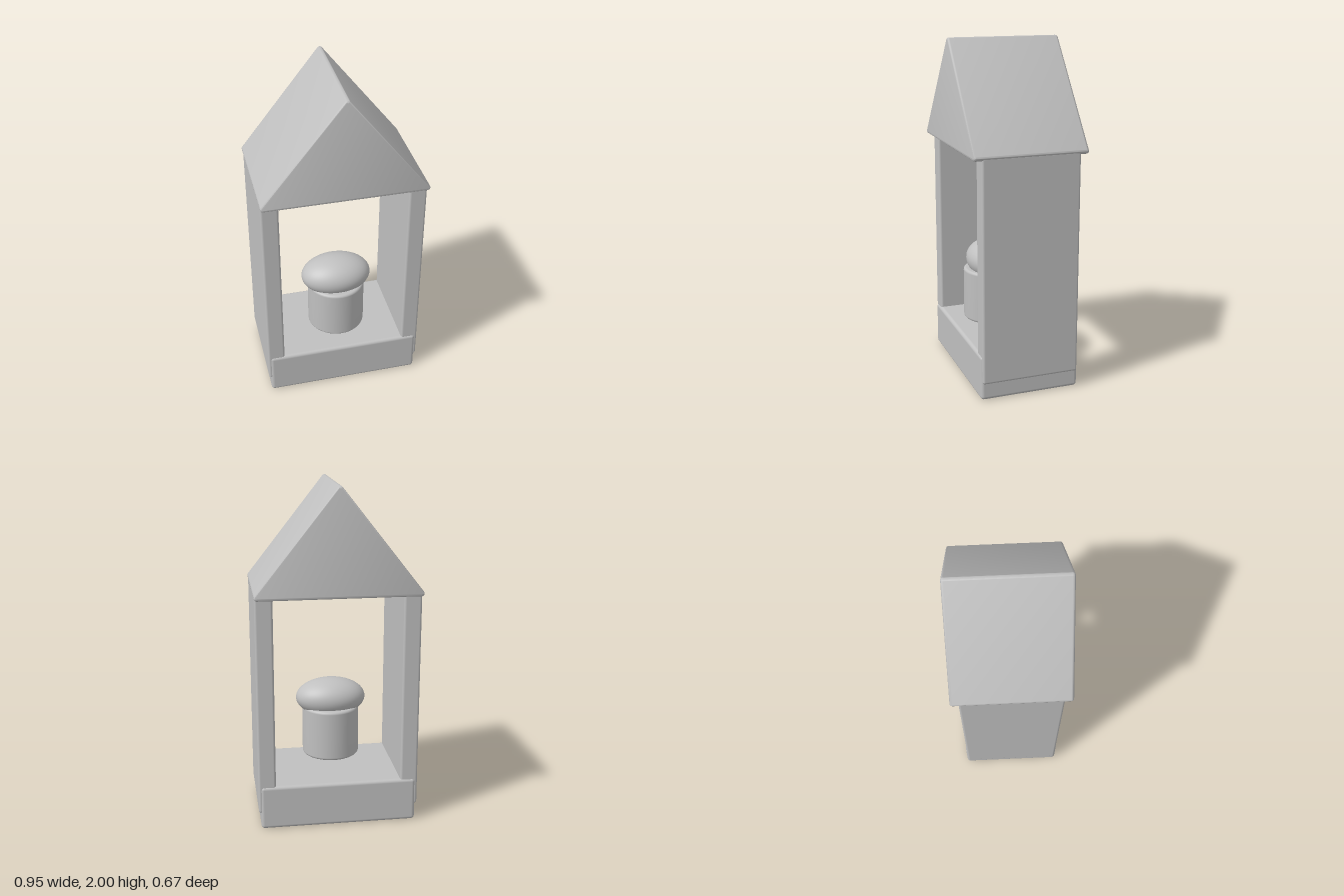
import * as THREE from 'three';
import { toCreasedNormals } from 'three/addons/utils/BufferGeometryUtils.js';
import { RoundedBoxGeometry } from 'three/addons/geometries/RoundedBoxGeometry.js';

const plainGrey = new THREE.MeshStandardMaterial({ color: 0xc0c0c0 });
plainGrey.name = 'plainGrey';

// Block with softened edges, given by its lower and upper corners
function block(name, [x0, y0, z0], [x1, y1, z1], radius) {
  const mesh = new THREE.Mesh(
    new RoundedBoxGeometry(x1 - x0, y1 - y0, z1 - z0, 4, radius), plainGrey);
  mesh.position.set((x0 + x1) / 2, (y0 + y1) / 2, (z0 + z1) / 2);
  mesh.name = name;
  return mesh;
}

// Gable roof: triangular prism with every edge rounded
function makeRoof() {
  const round = 0.016, core = 0.002, bevel = round - core;
  const halfWidth = 0.475 - round, low = 1.385 + round, apex = 2 - round;
  const slope = Math.atan2(halfWidth, apex - low); // angle of the slope's normal
  const shape = new THREE.Shape();
  shape.absarc(halfWidth, low, core, -Math.PI / 2, slope, false);
  shape.absarc(0, apex, core, slope, Math.PI - slope, false);
  shape.absarc(-halfWidth, low, core, Math.PI - slope, Math.PI * 1.5, false);
  shape.closePath();
  const depth = 0.67 - 2 * round;
  const geometry = new THREE.ExtrudeGeometry(shape, {
    depth, curveSegments: 6, bevelEnabled: true,
    bevelSize: bevel, bevelThickness: round, bevelSegments: 4,
  });
  geometry.translate(0, 0, -depth / 2);
  const roof = new THREE.Mesh(toCreasedNormals(geometry, 0.75), plainGrey);
  roof.name = 'gableRoof';
  return roof;
}

// Bell-like post with a wide oval cap, hanging just above the base
function makeMushroom() {
  const group = new THREE.Group();
  group.name = 'mushroom';
  const r = 0.172, y0 = 0.325, y1 = 0.635, b = 0.016;
  const profile = [new THREE.Vector2(0, y0)];
  for (let i = 0; i <= 4; i++) {
    const a = -Math.PI / 2 + (i * Math.PI) / 8;
    profile.push(new THREE.Vector2(r - b + b * Math.cos(a), y0 + b + b * Math.sin(a)));
  }
  for (let i = 0; i <= 4; i++) {
    const a = (i * Math.PI) / 8;
    profile.push(new THREE.Vector2(r - b + b * Math.cos(a), y1 - b + b * Math.sin(a)));
  }
  profile.push(new THREE.Vector2(0, y1));
  const stem = new THREE.Mesh(new THREE.LatheGeometry(profile, 48), plainGrey);
  stem.name = 'stem';

  const cap = new THREE.Mesh(new THREE.SphereGeometry(1, 48, 32), plainGrey);
  cap.scale.set(0.211, 0.117, 0.15);
  cap.position.y = 0.683;
  cap.name = 'cap';

  group.add(stem, cap);
  group.position.z = 0.07;
  return group;
}

export function createModel() {
  const model = new THREE.Group();
  model.name = 'shelter';
  model.add(block('base', [-0.46, 0.005, -0.295], [0.46, 0.27, 0.295], 0.02));
  // Side walls
  model.add(block('leftWall', [0.37, 0.1, -0.288], [0.473, 1.405, 0.288], 0.014));
  model.add(block('rightWall', [-0.473, 0.1, -0.288], [-0.37, 1.405, 0.288], 0.014));
  model.add(makeRoof(), makeMushroom());
  // Rest the base on the ground
  model.children[0].position.y -= 0.005;
  return model;
}
